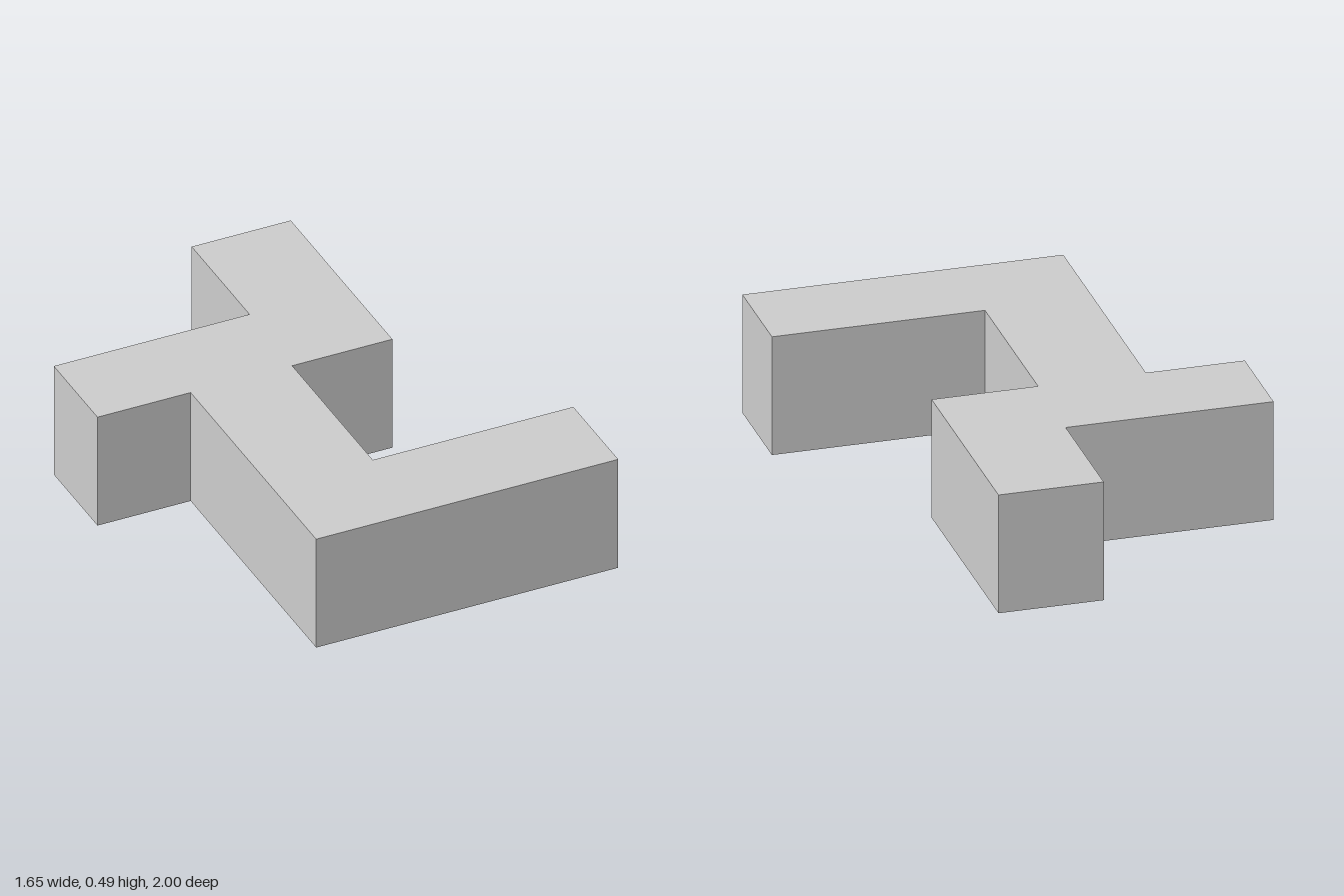
import * as THREE from 'three';

// Outline of the block in plan, as [x, z] corners
const OUTLINE = [
  [-0.83, -0.49], [-0.01, -0.49], [-0.01, -1], [0.405, -1],
  [0.405, -0.105], [-0.015, -0.105], [-0.015, 0.605], [0.825, 0.605],
  [0.825, 1], [-0.44, 1], [-0.44, -0.105], [-0.83, -0.105],
];
const HEIGHT = 0.493;

export function createModel() {
  const group = new THREE.Group();
  group.name = 'model';

  // Plan outline extruded upwards into one solid block
  const shape = new THREE.Shape(OUTLINE.map(([x, z]) => new THREE.Vector2(x, -z)));
  const geometry = new THREE.ExtrudeGeometry(shape, { depth: HEIGHT, bevelEnabled: false });
  geometry.rotateX(-Math.PI / 2);

  const block = new THREE.Mesh(
    geometry,
    new THREE.MeshStandardMaterial({ color: 0xcccccc, flatShading: true })
  );
  block.name = 'branchedBlock';
  group.add(block);
  return group;
}
